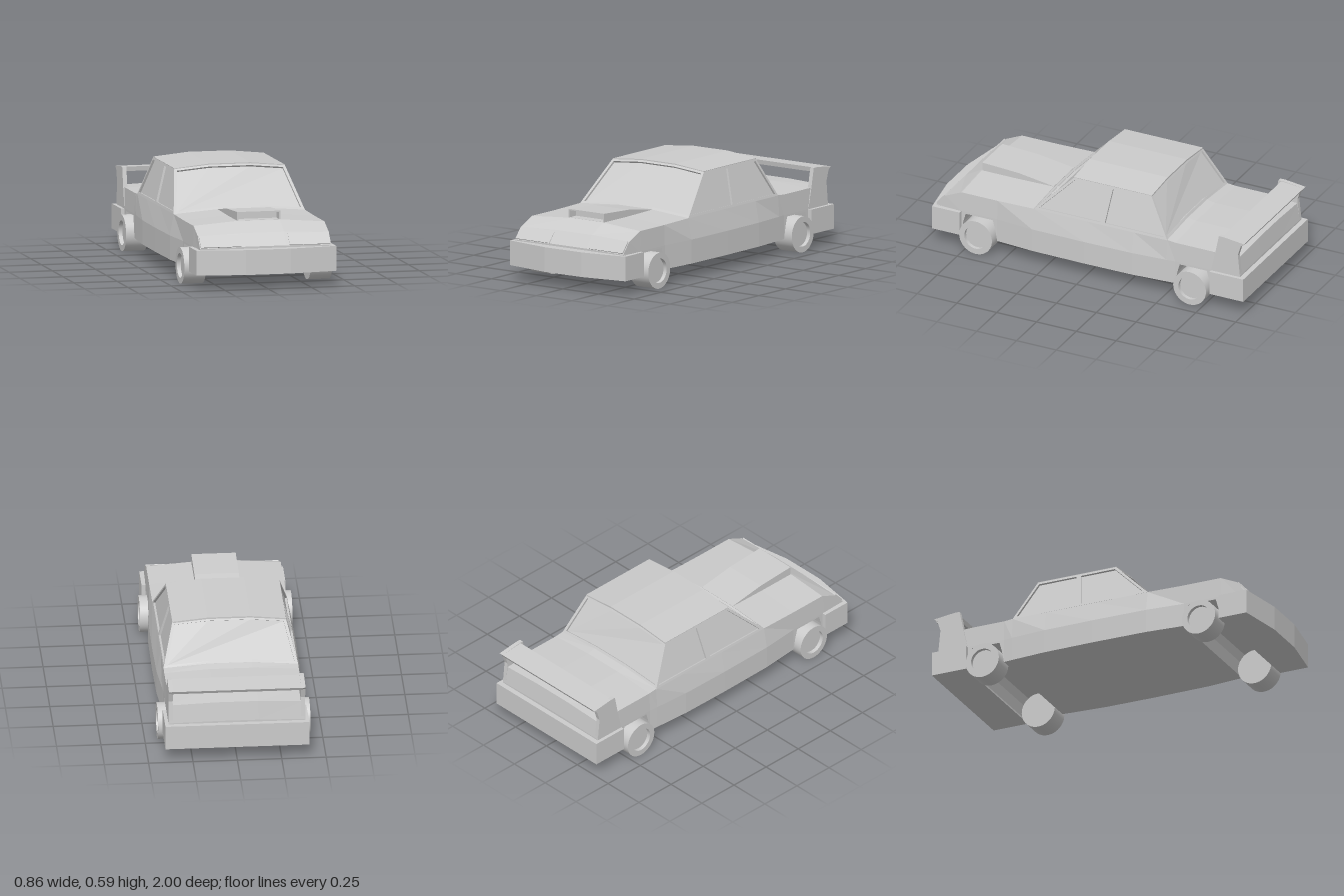
import * as THREE from 'three';

const grey = new THREE.MeshStandardMaterial({ color: 0xcccccc, flatShading: true });
const smooth = new THREE.MeshStandardMaterial({ color: 0xcccccc });
const V = (x, y, z) => new THREE.Vector3(x, y, z);

function add(parent, name, geometry, material = grey) {
  const mesh = new THREE.Mesh(geometry, material);
  mesh.name = name;
  parent.add(mesh);
  return mesh;
}

function fromTriangles(points) {
  const g = new THREE.BufferGeometry().setFromPoints(points);
  g.computeVertexNormals();
  return g;
}

// Skin over rings listed from back to front, each anticlockwise seen from the front
function loft(rings, capFront = true) {
  const t = [];
  const n = rings[0].length;
  for (let i = 0; i < rings.length - 1; i++) {
    for (let j = 0; j < n; j++) {
      const k = (j + 1) % n;
      const [a, b, c, d] = [rings[i][j], rings[i][k], rings[i + 1][k], rings[i + 1][j]];
      t.push(a, b, c, a, c, d);
    }
  }
  const first = rings[0], last = rings[rings.length - 1];
  for (let j = 1; j < n - 1; j++) {
    t.push(first[0], first[j + 1], first[j]);
    if (capFront) t.push(last[0], last[j], last[j + 1]);
  }
  return fromTriangles(t);
}

// Frame around a convex outline, with the pane sunk inward by depth
function framedPane(outline, margin, depth) {
  const n = outline.length;
  const normal = V(0, 0, 0);
  outline.forEach((p, i) => normal.add(p.clone().cross(outline[(i + 1) % n])));
  normal.normalize();
  const inward = (p, q) => normal.clone().cross(q.clone().sub(p)).normalize();
  const inner = outline.map((p, i) => {
    const a = inward(outline[(i + n - 1) % n], p);
    const b = inward(p, outline[(i + 1) % n]);
    const scale = margin / (1 + a.dot(b));
    return p.clone().add(a.add(b).multiplyScalar(scale));
  });
  const pane = inner.map((p) => p.clone().addScaledVector(normal, -depth));
  const t = [];
  for (let i = 0; i < n; i++) {
    const k = (i + 1) % n;
    t.push(outline[i], outline[k], inner[k], outline[i], inner[k], inner[i]);
    t.push(inner[i], inner[k], pane[k], inner[i], pane[k], pane[i]);
    if (i > 0 && i < n - 1) t.push(pane[0], pane[i], pane[i + 1]);
  }
  return fromTriangles(t);
}

const shapeOf = (pts) => new THREE.Shape(pts.map(([x, y]) => new THREE.Vector2(x, y)));

// Side profile of (z, y) points extruded across x, centred on x = 0
function acrossX(pts, width) {
  const g = new THREE.ExtrudeGeometry(shapeOf(pts), { depth: width, bevelEnabled: false });
  return g.rotateY(-Math.PI / 2).translate(width / 2, 0, 0);
}

// Plan outline of (x, z) points extruded upward from y0 to y1
function upward(pts, y0, y1) {
  const flipped = pts.map(([x, z]) => [x, -z]);
  const g = new THREE.ExtrudeGeometry(shapeOf(flipped), { depth: y1 - y0, bevelEnabled: false });
  return g.rotateX(-Math.PI / 2).translate(0, y0, 0);
}

export function createModel() {
  const car = new THREE.Group();
  car.name = 'car';
  const axles = [-0.675, 0.67];
  const low = 0.088;

  // Body shell: [z, underside y, side x, shoulder y, crown y]
  const arch = (c, shoulder, crown) =>
    [[-0.113, low], [-0.1, 0.16], [-0.085, 0.213], [0.085, 0.213], [0.1, 0.16], [0.113, low]]
      .map(([dz, y]) => [c + dz, y, 0.383, shoulder, crown]);
  const stations = [
    [-0.97, low, 0.38, 0.23, 0.235],
    [-0.955, low, 0.38, 0.335, 0.345],
    ...arch(axles[0], 0.342, 0.358),
    [-0.51, low, 0.388, 0.347, 0.367],
    [-0.3, low, 0.403, 0.345, 0.365],
    [0, low, 0.406, 0.345, 0.365],
    [0.33, low, 0.402, 0.345, 0.365],
    ...arch(axles[1], 0.341, 0.361),
    [0.79, low, 0.383, 0.338, 0.358],
    [0.885, low, 0.38, 0.295, 0.305],
    [0.94, low, 0.38, 0.23, 0.235],
  ];
  add(car, 'body', loft(stations.map(([z, yb, x, ye, yc]) => [
    V(-x, yb, z), V(x, yb, z), V(x, 0.225, z), V(0.379, ye, z),
    V(0.12, yc, z), V(-0.12, yc, z), V(-0.379, ye, z), V(-x, 0.225, z),
  ])));

  // Bumpers
  add(car, 'frontBumper', upward(
    [[-0.405, 0.782], [0.405, 0.782], [0.405, 0.955], [0.13, 1], [-0.13, 1], [-0.405, 0.955]], 0.083, 0.224));
  add(car, 'rearBumper', upward(
    [[-0.405, -1], [0.405, -1], [0.405, -0.787], [-0.405, -0.787]], 0.083, 0.224));

  // Headlights lying on the sloping nose
  for (const s of [-1, 1]) {
    const light = add(car, s > 0 ? 'leftHeadlight' : 'rightHeadlight', new THREE.BoxGeometry(0.236, 0.078, 0.012));
    light.position.set(s * 0.257, 0.264, 0.913);
    light.rotation.x = -0.7;
  }

  // Hood scoop with an open mouth
  const scoopRing = (z, y) => [V(-0.125, 0.355, z), V(0.125, 0.355, z), V(0.125, y, z), V(-0.125, y, z)];
  const mouth = scoopRing(0.78, 0.41);
  add(car, 'hoodScoop', loft([scoopRing(0.33, 0.366), scoopRing(0.55, 0.398), mouth], false));
  add(car, 'scoopMouth', framedPane(mouth, 0.007, 0.06));

  // Windscreen and rear window
  const screen = (s, zBase, zTop) => [
    [-0.38, 0.345, zBase], [-0.12, 0.365, zBase], [0.12, 0.365, zBase], [0.38, 0.345, zBase],
    [0.32, 0.57, zTop], [0.12, 0.588, zTop], [-0.12, 0.588, zTop], [-0.32, 0.57, zTop],
  ].map(([x, y, z]) => V(s * x, y, z));
  add(car, 'windscreen', framedPane(screen(1, 0.33, 0.105), 0.016, 0.012));
  add(car, 'rearWindow', framedPane(screen(-1, -0.51, -0.38), 0.016, 0.012));

  // Side windows: [base front z, base rear z, top rear z, top front z]
  const sideWindows = {
    FrontWindow: [0.33, -0.1, -0.128, 0.105],
    RearWindow: [-0.1, -0.51, -0.38, -0.128],
  };
  for (const s of [-1, 1]) {
    for (const [name, [a, b, c, d]] of Object.entries(sideWindows)) {
      const outline = [V(s * 0.38, 0.345, a), V(s * 0.38, 0.345, b), V(s * 0.32, 0.57, c), V(s * 0.32, 0.57, d)];
      if (s < 0) outline.reverse();
      add(car, (s > 0 ? 'left' : 'right') + name, framedPane(outline, 0.014, 0.012));
    }
  }

  // Crowned roof panel
  const roof = shapeOf([
    [-0.318, 0.56], [-0.12, 0.578], [0.12, 0.578], [0.318, 0.56],
    [0.32, 0.572], [0.12, 0.592], [-0.12, 0.592], [-0.32, 0.572],
  ]);
  add(car, 'roof', new THREE.ExtrudeGeometry(roof, { depth: 0.49, bevelEnabled: false }).translate(0, 0, -0.383));

  // Rear wing: blade between two end plates
  add(car, 'wingBlade', acrossX([[-0.855, 0.451], [-0.86, 0.425], [-0.985, 0.42], [-0.995, 0.438]], 0.74));
  const plate = [
    [-0.837, 0.453], [-0.815, 0.345], [-0.787, 0.224], [-0.97, 0.224],
    [-0.956, 0.36], [-0.975, 0.42], [-0.995, 0.438], [-0.87, 0.453],
  ];
  for (const s of [-1, 1]) {
    add(car, s > 0 ? 'leftWingPlate' : 'rightWingPlate', acrossX(plate, 0.024)).position.x = s * 0.373;
  }

  // Wheels: tyre tread and walls as hard-edged bands with a sunken hub
  const profile = [[0, 0.04], [0.07, 0.04], [0.07, 0.0625], [0.103, 0.0625], [0.103, -0.0625], [0, -0.0625]];
  for (const [i, z] of axles.entries()) {
    for (const s of [-1, 1]) {
      const wheel = new THREE.Group();
      wheel.name = (i ? 'front' : 'rear') + (s > 0 ? 'Left' : 'Right') + 'Wheel';
      for (let k = 0; k < profile.length - 1; k++) {
        const band = [profile[k + 1], profile[k]].map(([r, h]) => new THREE.Vector2(r, h));
        add(wheel, ['hub', 'rim', 'outerWall', 'tread', 'innerWall'][k], new THREE.LatheGeometry(band, 40), smooth);
      }
      wheel.position.set(s * 0.3665, 0.103, z);
      wheel.rotation.z = -s * Math.PI / 2;
      car.add(wheel);
    }
  }
  return car;
}
